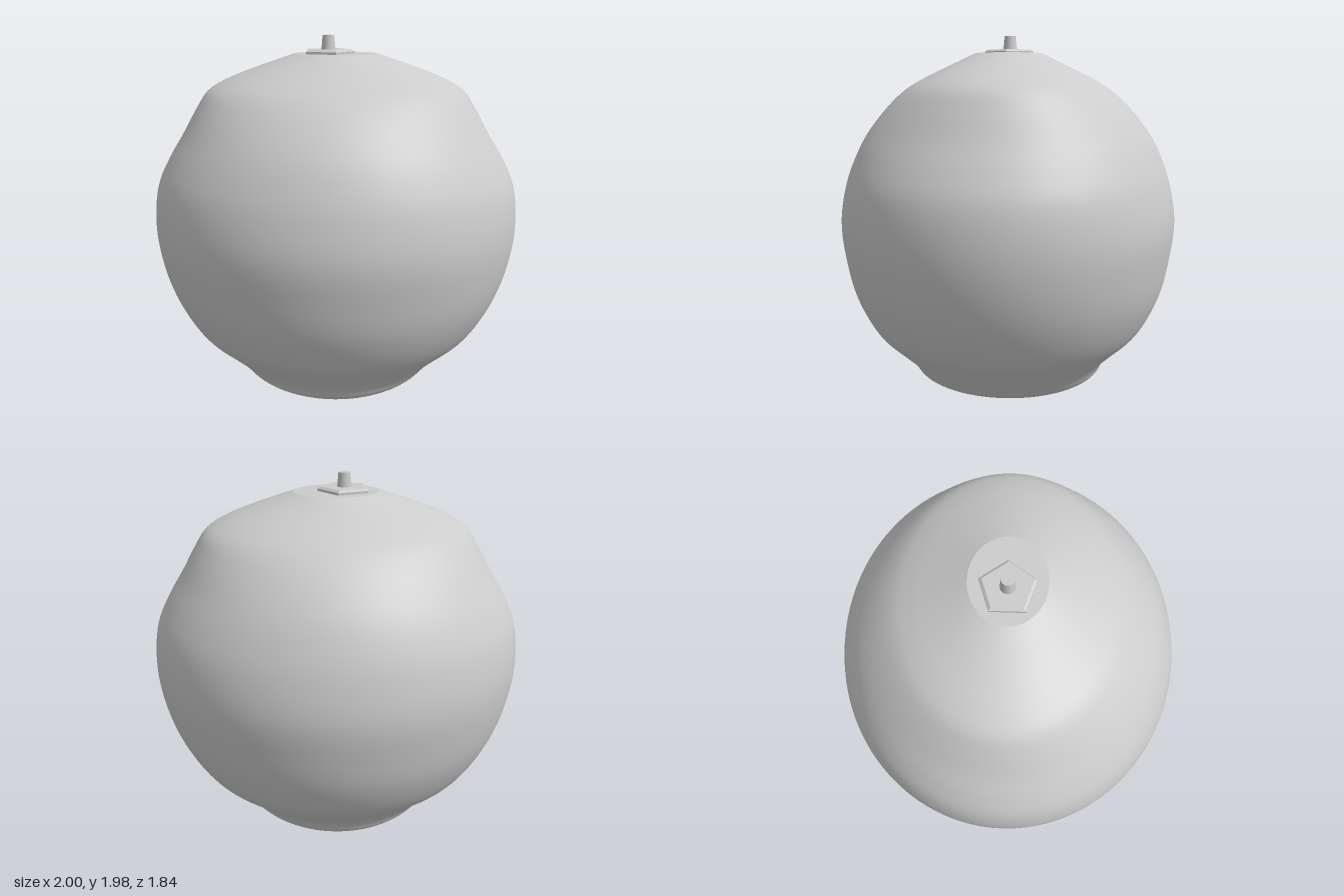
import * as THREE from 'three';
import { mergeVertices } from 'three/addons/utils/BufferGeometryUtils.js';

export function createModel() {
  const model = new THREE.Group();
  const grey = new THREE.MeshStandardMaterial({ color: 0xcccccc });
  grey.name = 'plain grey';

  const add = (name, geometry, x = 0, y = 0, z = 0) => {
    const mesh = new THREE.Mesh(geometry, grey);
    mesh.name = name;
    mesh.position.set(x, y, z);
    model.add(mesh);
    return mesh;
  };

  // Fruit body: half-width in x, height, half-depth in z, from base to crown
  const sections = [
    [0, 0.005, 0], [0.07, 0.007, 0.07], [0.25, 0.04, 0.25], [0.45, 0.082, 0.47],
    [0.525, 0.12, 0.53], [0.57, 0.165, 0.552], [0.62, 0.215, 0.585], [0.70, 0.29, 0.66],
    [0.81, 0.40, 0.765], [0.92, 0.60, 0.86], [0.98, 0.80, 0.902], [1, 1.0, 0.92],
    [0.975, 1.2, 0.885], [0.91, 1.34, 0.835], [0.83, 1.47, 0.765], [0.75, 1.61, 0.65],
    [0.69, 1.695, 0.555], [0.60, 1.75, 0.465], [0.45, 1.81, 0.345], [0.225, 1.887, 0.187],
  ].map((p) => new THREE.Vector3(...p));
  const profile = new THREE.CatmullRomCurve3(sections).getPoints(95);
  let body = new THREE.LatheGeometry(profile.map((p) => new THREE.Vector2(Math.max(p.x, 0), p.y)), 96);
  // Squash each ring to its own depth
  const pos = body.attributes.position;
  for (let i = 0; i < pos.count; i++) {
    const p = profile[i % profile.length];
    if (p.x > 1e-6) pos.setZ(i, pos.getZ(i) * p.z / p.x);
  }
  body.deleteAttribute('uv');
  body.deleteAttribute('normal');
  body = mergeVertices(body, 1e-5);
  body.computeVertexNormals();
  add('fruitBody', body);

  // Flat crown closing the top
  const crown = new THREE.CircleGeometry(1, 96);
  crown.rotateX(-Math.PI / 2);
  crown.scale(0.225, 1, 0.187);
  add('flatCrown', crown, 0, 1.887, 0);

  // Five-sided calyx with a bevelled rim, one corner pointing to +x
  const pentagon = (r1, r0, h) => {
    const g = new THREE.CylinderGeometry(r1, r0, h, 5).toNonIndexed();
    g.rotateY(Math.PI / 2);
    g.computeVertexNormals();
    return g;
  };
  add('calyx', pentagon(0.142, 0.142, 0.012), -0.042, 1.893, 0);
  add('calyxBevel', pentagon(0.126, 0.142, 0.01), -0.042, 1.904, 0);

  // Short stem
  add('stem', new THREE.CylinderGeometry(0.031, 0.038, 0.078, 32), -0.04, 1.944, 0);

  return model;
}
